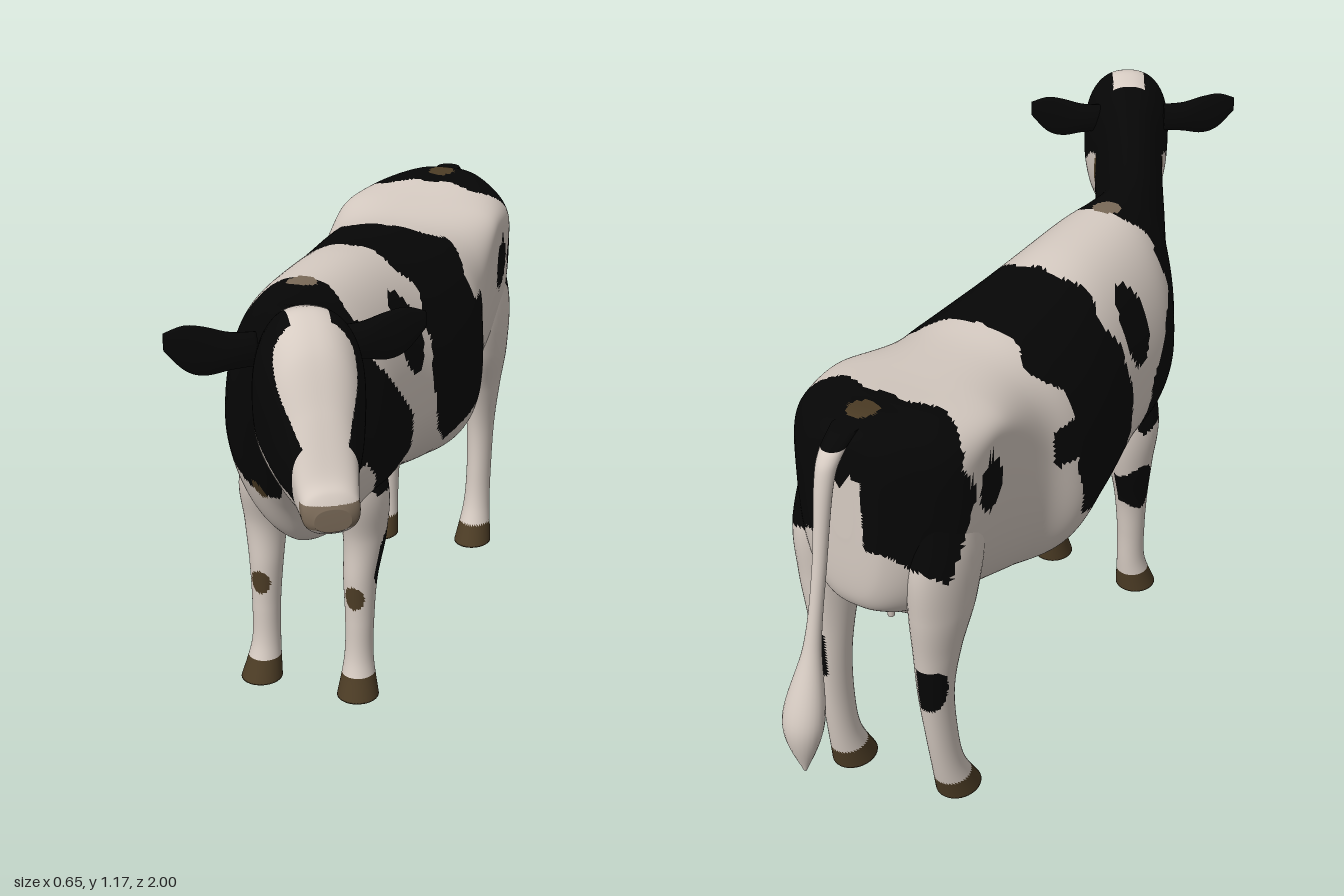
import * as THREE from 'three';

const { smoothstep } = THREE.MathUtils;
const mat = (name, color) => Object.assign(new THREE.MeshStandardMaterial({ color }), { name });
const AXIS = -0.07;   // x of the body's middle line
const YAW = 0.57;     // how far the head is turned
const WHITE = 0, BLACK = 1, HORN = 2, NOSE = 3;

// Smooth interpolation through rows of numbers, u from 0 to 1
function sample(rows, u) {
  const n = rows.length - 1, f = Math.min(u * n, n - 1e-6), i = Math.floor(f), t = f - i;
  const at = k => rows[Math.max(0, Math.min(n, k))];
  const [a, b, c, d] = [at(i - 1), at(i), at(i + 1), at(i + 2)];
  return b.map((p, k) => p + 0.5 * t * (c[k] - a[k] + t * (2 * a[k] - 5 * p + 4 * c[k] - d[k]
    + t * (3 * (p - c[k]) + d[k] - a[k]))));
}

// Closed skin over rings; paint(info) picks the material of each triangle
function skin(name, mats, nu, na, ring, paint) {
  const pos = [], info = [], bins = mats.map(() => []);
  for (let i = -1; i <= nu + 1; i++) {
    const u = Math.max(0, Math.min(nu, i)) / nu, k = i < 0 || i > nu ? 0 : 1;
    for (let j = 0; j < na; j++) {
      const r = ring(u, j / na * Math.PI * 2, k);
      pos.push(...r.p);
      info.push(r.info);
    }
  }
  const face = (...v) => {
    const mean = info[v[0]].map((_, k) => (info[v[0]][k] + info[v[1]][k] + info[v[2]][k]) / 3);
    bins[paint(...mean)].push(...v);
  };
  for (let i = 0; i < nu + 2; i++) for (let j = 0; j < na; j++) {
    const a = i * na + j, b = i * na + (j + 1) % na, c = a + na, d = b + na;
    if (i > 0) face(a, b, c);
    if (i < nu + 1) face(b, d, c);
  }
  const g = new THREE.BufferGeometry();
  g.setAttribute('position', new THREE.Float32BufferAttribute(pos, 3));
  g.setIndex(bins.flat());
  let start = 0;
  bins.forEach((b, m) => { if (b.length) g.addGroup(start, b.length, m); start += b.length; });
  g.computeVertexNormals();
  const mesh = new THREE.Mesh(g, mats);
  mesh.name = name;
  return mesh;
}

// Limb built downwards from rows [y, x, z, half width, half depth]
function limb(name, mats, rows, nu, na, paint) {
  return skin(name, mats, nu, na, (u, a, k) => {
    const [y, x, z, rx, rz] = sample(rows, u), c = Math.cos(a), s = Math.sin(a);
    return { p: [x + k * rx * c, y, z + k * rz * s], info: [y, z + rz * s, c, s] };
  }, paint);
}

// Coat patches as outlines in side projection [z, y]
const SHOULDER = [[.27, 1.3], [.29, .88], [.14, .7], [.12, .6], [.17, .53], [.25, .54], [.33, .65],
  [.42, .59], [.53, .63], [.6, .8], [.645, .9], [.645, 1], [.72, 1.3]];
const SADDLE = [[.01, 1.3], [-.03, .94], [0, .88], [.02, .72], [-.02, .6], [-.12, .535], [-.26, .6],
  [-.285, .76], [-.355, .76], [-.34, .85], [-.27, .85], [-.27, .91], [-.34, .98], [-.27, 1.01], [-.27, 1.3]];
const RUMP = [[-.61, 1.3], [-.62, 1.02], [-.66, .94], [-.62, .85], [-.66, .77], [-.715, .68], [-.79, .76],
  [-.9, .8], [-.9, 1.3]];
const EYE_PATCH = [[.92, .85], [.92, .96], [.82, 1.11], [.76, 1.3], [.6, 1.3], [.6, 1.02],
  [.7, .99], [.78, .91], [.86, .86]];

function inside(poly, x, y) {
  let hit = false;
  poly.forEach(([ax, ay], i) => {
    const [bx, by] = poly[(i + 1) % poly.length];
    if ((ay > y) !== (by > y) && x < ax + (bx - ax) * (y - ay) / (by - ay)) hit = !hit;
  });
  return hit;
}
const oval = (z, y, cz, cy, rz, ry) => ((z - cz) / rz) ** 2 + ((y - cy) / ry) ** 2 < 1;

function coat(z, y, side) {
  const d = Math.abs(side);
  if (z > 0.95 && y > 0.825 && y < 0.872) return NOSE;
  // Small brown marks: tail root, withers, cheek and chest
  if (y > 0.98 && oval(z, d, -.71, 0, .035, .032)) return HORN;
  if (y > 0.98 && oval(z, d, .29, 0, .03, .035)) return NOSE;
  if (oval(z, y, .655, .965, .014, .035) || oval(z, y, .42, .605, .015, .02)) return HORN;
  if (z > 0.64 && inside(EYE_PATCH, z, y) && (d > 0.04 || z < 0.72)) return BLACK;
  if (z > 0.38 && y < 0.85 && d < 0.015) return WHITE;
  if (z < -0.76 && d < 0.05 && y < 0.93) return WHITE;
  if (oval(z, y, .09, .88, .058, .095) || oval(z, y, -.57, .85, .04, .068)) return BLACK;
  const wz = z + 0.004 * Math.sin(y * 55) + 0.012 * Math.sin(d * 40) * (y > 0.97 ? 1 : 0);
  return [SHOULDER, SADDLE, RUMP].some(p => inside(p, wz, y)) ? BLACK : WHITE;
}

// Body from rump to muzzle: [z, top, bottom, half width, widest height]
const BODY = [
  [-.80, .99, .78, .03, .9], [-.79, 1.02, .62, .095, .88], [-.74, 1.04, .56, .157, .87],
  [-.66, 1.035, .53, .205, .91], [-.52, 1.02, .48, .215, .94], [-.37, 1.01, .43, .225, .8],
  [-.26, 1.015, .415, .258, .68], [-.12, 1.025, .44, .25, .68], [.06, 1.045, .47, .22, .68],
  [.25, 1.05, .425, .2, .7], [.35, 1.05, .45, .16, .72], [.44, 1.055, .57, .105, .8],
  [.54, 1.085, .69, .088, .88], [.66, 1.13, .8, .087, .95], [.74, 1.165, .8, .105, .98],
  [.79, 1.17, .8, .108, 1], [.85, 1.12, .8, .093, .97], [.9, 1.02, .8, .07, .92],
  [.945, .92, .8, .058, .87], [.968, .89, .81, .054, .85], [.98, .865, .82, .035, .84],
];

// The spine runs straight, then swings smoothly to the left through the neck
function spine(z) {
  const t = z - 0.433, h = Math.hypot(t, 0.1), swing = Math.tan(YAW) / 2;
  return { x: AXIS + swing * (t + h), turn: Math.atan(swing * (1 + t / h)) };
}

// Legs with x measured outwards from the body's middle line
const FORE = [[.7, .08, .22, .05, .09], [.54, .118, .212, .06, .088], [.42, .125, .205, .05, .064],
  [.31, .12, .222, .04, .046], [.2, .12, .228, .034, .038], [.1, .12, .234, .035, .038], [.01, .125, .255, .05, .052]];
const HIND = [[.88, .13, -.63, .05, .09], [.72, .143, -.645, .065, .115], [.58, .142, -.66, .062, .095],
  [.46, .135, -.68, .048, .065], [.34, .13, -.69, .037, .048], [.21, .13, -.682, .033, .042],
  [.1, .13, -.665, .036, .042], [0, .13, -.63, .05, .058]];
const EAR = [[0, 0, 0, .035, .02], [-.05, 0, 0, .038, .024], [-.1, .004, 0, .05, .018],
  [-.14, .014, 0, .046, .012], [-.18, .03, 0, .018, .004]];
const TAIL = [[1.035, AXIS, -.77, .03, .03], [1, AXIS, -.82, .025, .028], [.94, AXIS, -.85, .02, .02],
  [.76, AXIS, -.882, .015, .016], [.58, -.064, -.915, .019, .019], [.4, -.058, -.957, .047, .041],
  [.27, -.06, -.967, .004, .004]];

export function createModel() {
  const mats = [mat('cream white', 0xd6cbc2), mat('black', 0x060606), mat('hoof brown', 0x4c3c25), mat('nose brown', 0x7a6a58)];
  const cow = new THREE.Group();
  cow.name = 'cow';

  // Trunk, neck and head; the rump is boxy and the chest tapers to a keel
  cow.add(skin('bodyNeckAndHead', mats, 280, 160, (u, a, k) => {
    const [z, top, bottom, w, mid] = sample(BODY, u), { x, turn } = spine(z);
    const c = Math.cos(a), s = Math.sin(a);
    const keel = s < 0 ? 0.2 * smoothstep(z, -0.1, 0.3) * (1 - smoothstep(z, 0.5, 0.7)) : 0;
    const e = 0.73 + 0.22 * smoothstep(z, -0.6, 0) - 0.1 * smoothstep(z, 0.5, 0.75) + keel;
    const side = k * w * Math.sign(c) * Math.abs(c) ** e;
    const y = mid + k * (s > 0 ? top - mid : mid - bottom) * Math.sign(s) * Math.abs(s) ** e;
    return { p: [x + side * Math.cos(turn), y, z - side * Math.sin(turn)], info: [z, y, side] };
  }, coat));

  for (const m of [1, -1]) {
    const side = m > 0 ? 'left' : 'right';
    // Legs: the thigh follows the coat, the lower part has its own spots
    const place = (rows, shift) => rows.map(([y, x, z, rx, rz]) =>
      [y, AXIS + m * x, z + shift * Math.max(0, 1 - y / 0.6), rx, rz]);
    cow.add(limb(side + 'FrontLeg', mats, place(FORE, 0), 100, 40, (y, z, c, s) => {
      if (y < 0.065) return HORN;
      if (s > 0.3 && oval(c, y, 0, .27, .65, .03)) return HORN;
      if (s < 0.35 && c * m > -0.3 && oval(s, y, -.4, .36, .8, .075)) return BLACK;
      return y > 0.5 ? coat(z, y, 0.15) : WHITE;
    }));
    cow.add(limb(side + 'HindLeg', mats, place(HIND, m > 0 ? -0.015 : 0.03), 110, 40, (y, z, c, s) => {
      if (y < 0.055) return HORN;
      if (c * m > -0.4 && oval(s, y, -.9, .37, .7, .06)) return BLACK;
      return y > 0.5 ? coat(z, y, 0.15) : WHITE;
    }));

    // Ears: flat leaves pointing sideways from the turned head
    const ear = limb(side + 'Ear', mats, EAR.map(([y, x, ...r]) => [y, x * m, ...r]), 24, 20, () => BLACK);
    ear.rotation.z = m * Math.PI / 2;
    const joint = new THREE.Group();
    joint.name = side + 'EarJoint';
    joint.position.set(0.11 + m * 0.067, 1.075, 0.725 - m * 0.043);
    joint.rotation.y = YAW + 0.05;
    joint.add(ear);
    cow.add(joint);

    // Teats, two on each side
    for (const z of [-0.53, -0.585]) {
      const teat = new THREE.Mesh(new THREE.CylinderGeometry(0.016, 0.008, 0.06, 12), mats[WHITE]);
      teat.name = 'teat';
      teat.position.set(AXIS + m * 0.05, 0.435, z);
      cow.add(teat);
    }
  }

  const udder = new THREE.Mesh(new THREE.SphereGeometry(1, 32, 20), mats[WHITE]);
  udder.name = 'udder';
  udder.scale.set(0.1, 0.095, 0.13);
  udder.position.set(AXIS, 0.53, -0.53);
  cow.add(udder);

  // Tail with a full tuft at its end
  cow.add(limb('tail', mats, TAIL, 70, 24, y => y > 1.01 ? BLACK : WHITE));
  return cow;
}
